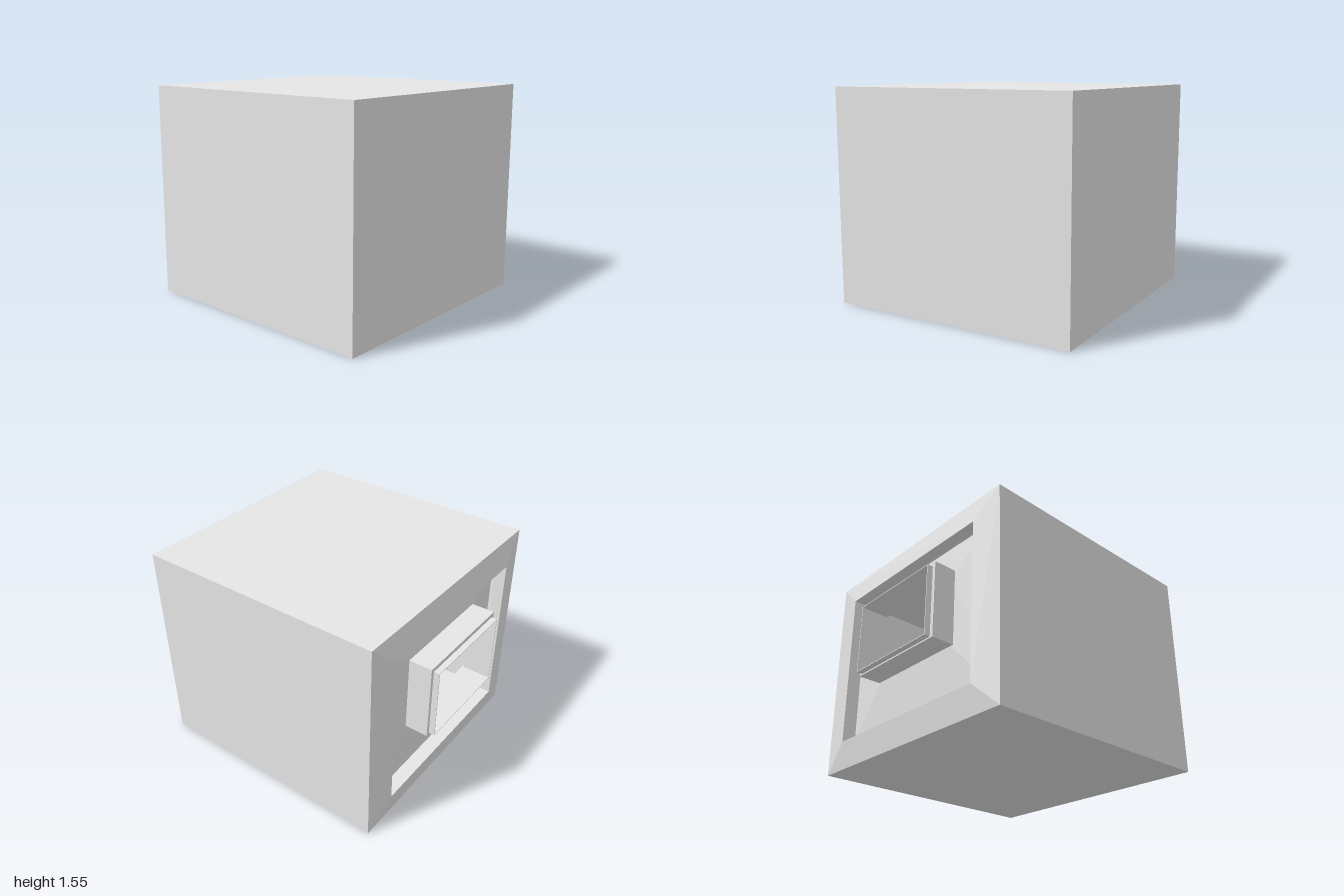
import * as THREE from 'three';

// Four corners of an upright rectangle: half width, bottom, top, depth position
const ring = ([hx, y0, y1, z]) => [[-hx, y0, z], [hx, y0, z], [hx, y1, z], [-hx, y1, z]];

// Skin a run of rectangles with flat faces
function loft(name, sections, material) {
  const pos = [];
  for (let s = 0; s < sections.length - 1; s++) {
    const a = ring(sections[s]);
    const b = ring(sections[s + 1]);
    for (let i = 0; i < 4; i++) {
      const j = (i + 1) % 4;
      pos.push(...a[i], ...b[i], ...b[j], ...a[i], ...b[j], ...a[j]);
    }
  }
  const geometry = new THREE.BufferGeometry();
  geometry.setAttribute('position', new THREE.Float32BufferAttribute(pos, 3));
  geometry.computeVertexNormals();
  const mesh = new THREE.Mesh(geometry, material);
  mesh.name = name;
  return mesh;
}

export function createModel() {
  const grey = new THREE.MeshStandardMaterial({ color: 0xe6e6e6, side: THREE.DoubleSide });
  grey.name = 'light grey';
  const group = new THREE.Group();
  group.name = 'hollowBoxWithWindow';

  // Key cross-sections, from the closed front to the framed back
  const backEdge = [0.92, 0, 1.555, -0.845];
  const bevelRim = [0.7, 0.195, 1.36, -0.88];
  const lipEdge = [0.7, 0.195, 1.36, -0.797];
  const frameFoot = [0.413, 0.59, 1.155, -0.765];
  const frameFront = [0.413, 0.59, 1.155, -0.957];
  const sleeveFoot = [0.386, 0.6, 1.125, -0.957];
  const mouth = [0.381, 0.605, 1.12, -1];
  const throat = [0.381, 0.605, 1.12, -0.79];

  const parts = {
    // Closed front and the four outer walls
    outerShell: [[0, 0.775, 0.775, 1], [0.92, 0, 1.555, 1], backEdge],
    // Sloping border around the back, with the thickness of its lip
    backBevel: [backEdge, bevelRim, lipEdge],
    // Sunken back panel, tucked behind the lip
    recessedPanel: [lipEdge, [0.72, 0.175, 1.38, -0.765], frameFoot],
    // Raised window surround
    windowFrame: [frameFoot, frameFront, sleeveFoot],
    // Thin sleeve lining the opening
    windowSleeve: [sleeveFoot, [0.386, 0.6, 1.125, -1], mouth, throat],
    // Hollow inside of the box
    innerCavity: [throat, [0.88, 0.065, 1.48, -0.755], [0.88, 0.065, 1.48, 0.96], [0, 0.775, 0.775, 0.96]],
  };
  for (const [name, sections] of Object.entries(parts)) group.add(loft(name, sections, grey));
  return group;
}
